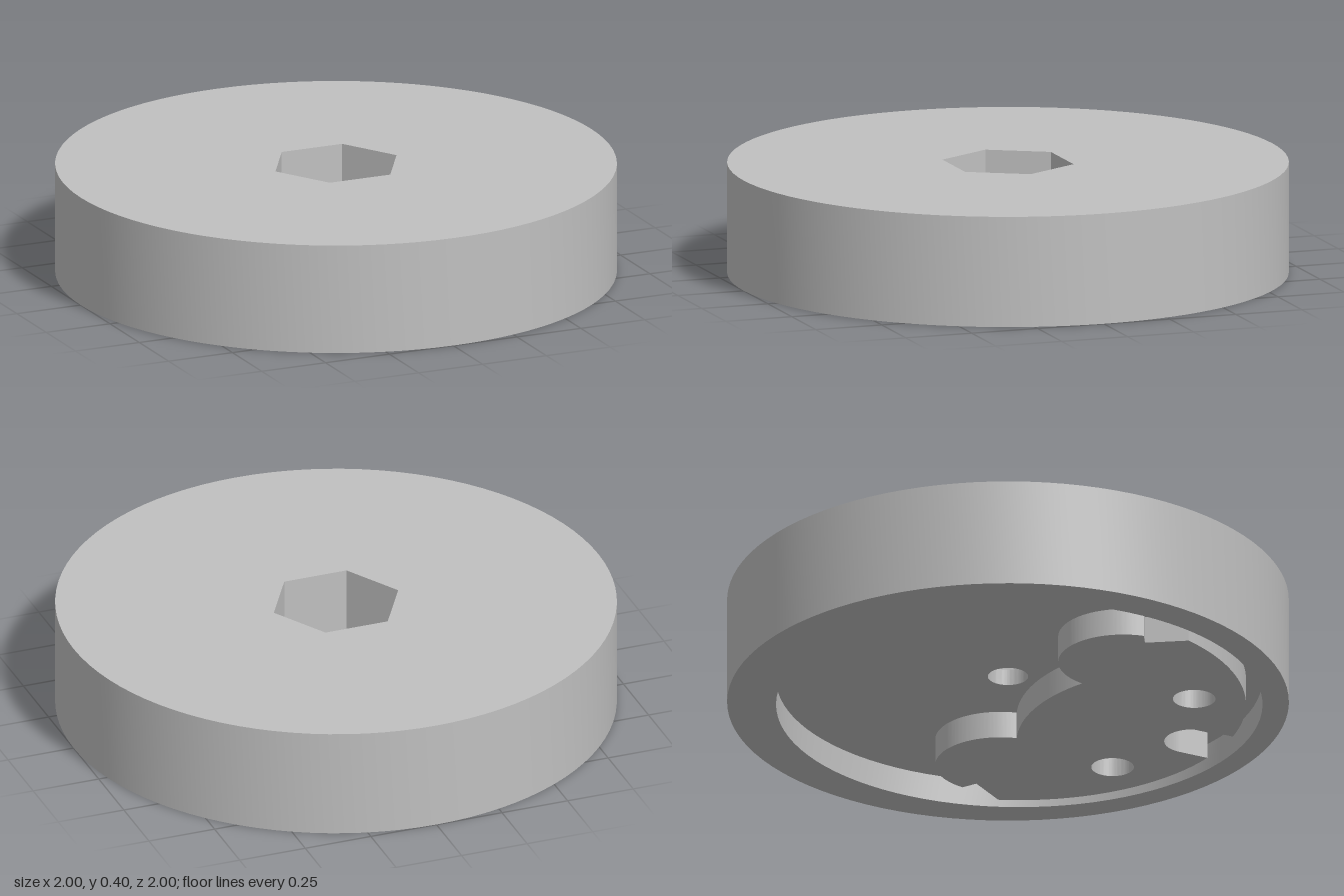
import * as THREE from 'three';
import { toCreasedNormals } from 'three/addons/utils/BufferGeometryUtils.js';

const SEG = 48;
const H = 0.4;          // full height
const RECESS = 0.1;     // height of the recess ceiling on the underside
const HEX_FLOOR = 0.16; // bottom of the hexagonal socket

// Plan outlines: shape x = model x, shape y = model z
function circle(x, z, r) {
  return new THREE.Shape().absarc(x, z, r, 0, Math.PI * 2, false);
}

function hexagon(r) {
  const pts = [];
  for (let i = 0; i < 6; i++) {
    const a = i * Math.PI / 3;
    pts.push(new THREE.Vector2(r * Math.cos(a), r * Math.sin(a)));
  }
  return new THREE.Shape(pts);
}

// Two-lobed plate with a slot in its outer edge
function plateOutline() {
  const P = Math.PI, cz = 0.045, R = 0.807, start = 0.375, slot = 1.446;
  const s = new THREE.Shape();
  s.absarc(0, cz, R, start, slot, false);
  s.absarc(0, 0.735, 0.1, 0, P, true);
  s.absarc(0, cz, R, P - slot, P - start, false);
  s.lineTo(-0.665, 0.21);
  s.absarc(-0.485, 0.215, 0.232, P + 0.15, 2 * P - 0.216, false);
  s.absarc(0, 0.74, 0.63, P + 1.15, 2 * P - 1.15, false);
  s.absarc(0.485, 0.215, 0.232, P + 0.216, 2 * P - 0.15, false);
  s.lineTo(0.665, 0.21);
  s.closePath();
  return s;
}

// Flat horizontal face, optionally pierced
function face(outline, holes, y, up) {
  const s = new THREE.Shape(outline.getPoints(SEG));
  s.holes = holes.map((h) => new THREE.Path(h.getPoints(SEG)));
  const g = new THREE.ShapeGeometry(s, SEG);
  g.rotateX(up ? -Math.PI / 2 : Math.PI / 2);
  g.translate(0, y, 0);
  return g;
}

// Upright wall along an outline, facing outward or inward
function wall(outline, y0, y1, inward) {
  const pts = outline.getPoints(SEG);
  const pos = [];
  pts.forEach((a, i) => {
    const b = pts[(i + 1) % pts.length];
    if (a.distanceTo(b) < 1e-5) return;
    const a0 = [a.x, y0, a.y], a1 = [a.x, y1, a.y];
    const b0 = [b.x, y0, b.y], b1 = [b.x, y1, b.y];
    const quad = inward ? [a0, b0, b1, a0, b1, a1] : [a0, a1, b1, a0, b1, b0];
    quad.forEach((v) => pos.push(...v));
  });
  const g = new THREE.BufferGeometry();
  g.setAttribute('position', new THREE.Float32BufferAttribute(pos, 3));
  return toCreasedNormals(g, 0.5);
}

export function createModel() {
  const grey = new THREE.MeshStandardMaterial({ color: 0xc0c0c0 });
  grey.name = 'plain grey';
  const model = new THREE.Group();
  model.name = 'socketedDisc';

  const addGroup = (name, parts) => {
    const group = new THREE.Group();
    group.name = name;
    for (const [partName, geometry] of Object.entries(parts)) {
      const mesh = new THREE.Mesh(geometry, grey);
      mesh.name = partName;
      group.add(mesh);
    }
    model.add(group);
  };

  const rim = circle(0, 0, 1);
  const recess = circle(0, 0.045, 0.866);
  const bore = circle(0, 0, 0.072);
  const hex = hexagon(0.237);
  const plate = plateOutline();
  const pins = [circle(0.322, 0.58, 0.076), circle(-0.322, 0.58, 0.076)];

  // Main disc
  addGroup('disc', {
    outerWall: wall(rim, 0, H, false),
    topFace: face(rim, [hex], H, true),
    bottomRim: face(rim, [recess], 0, false),
  });

  // Hexagonal socket in the top and the bore through its floor
  addGroup('hexSocket', {
    socketWall: wall(hex, HEX_FLOOR, H, true),
    socketFloor: face(hex, [bore], HEX_FLOOR, true),
    boreWall: wall(bore, RECESS, HEX_FLOOR, true),
  });

  // Offset round recess in the underside
  addGroup('recess', {
    recessWall: wall(recess, 0, RECESS, true),
    recessCeiling: face(recess, [bore, plate], RECESS, false),
  });

  // Raised lobed plate inside the recess
  addGroup('lobedPlate', {
    plateWall: wall(plate, 0, RECESS, false),
    plateFace: face(plate, pins, 0, false),
  });

  // Pair of pin holes in the plate
  pins.forEach((pin, i) => addGroup(i ? 'rightPinHole' : 'leftPinHole', {
    pinHoleWall: wall(pin, 0, RECESS, true),
    pinHoleEnd: face(pin, [], RECESS, false),
  }));

  return model;
}
